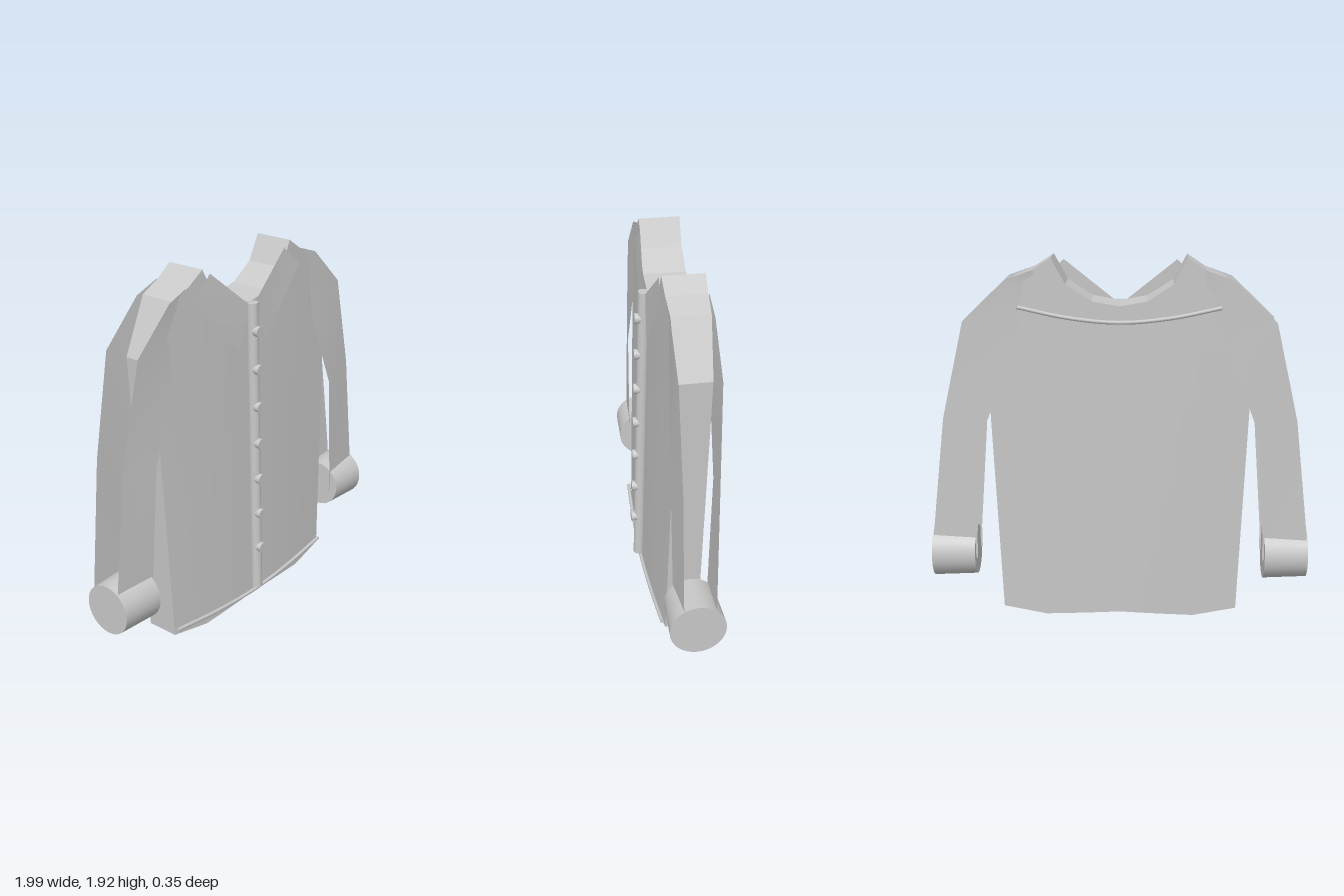
import * as THREE from 'three';

const fabric = new THREE.MeshStandardMaterial({ color: 0xc8c8c8, side: THREE.DoubleSide });
fabric.name = 'greyFabric';

function add(group, name, geometry) {
  const mesh = new THREE.Mesh(geometry, fabric);
  mesh.name = name;
  group.add(mesh);
  return mesh;
}

// Surface through rows of points; all rows have the same length
function sheet(rows) {
  const n = rows[0].length, index = [];
  for (let i = 0; i < rows.length - 1; i++) {
    for (let j = 0; j < n - 1; j++) {
      const a = i * n + j, b = a + n;
      index.push(a, a + 1, b + 1, a, b + 1, b);
    }
  }
  const g = new THREE.BufferGeometry();
  g.setAttribute('position', new THREE.Float32BufferAttribute(rows.flat(2), 3));
  g.setIndex(index);
  g.computeVertexNormals();
  return g;
}

// Half outline of the body: neckline, shoulder and hem, as [x, top y, hem y]
const HALF = [[0, 1.69, 0.03], [0.14, 1.715, 0.023], [0.27, 1.8, 0.017], [0.34, 1.93, 0.014],
  [0.43, 1.87, 0.01], [0.54, 1.82, 0.028], [0.68, 1.55, 0.05]];
const COLUMNS = [...HALF.slice(1).reverse().map(([x, t, h]) => [-x, t, h]), ...HALF];

// The body leans forward towards the hem and bulges in the middle
function bodyZ(x, y, side) {
  const lean = 0.05 * (1 - y / 1.93);
  const bulge = (side > 0 ? 0.03 : 0.02) * Math.max(0, 1 - (x / 0.68) ** 2);
  return lean + (side > 0 ? 0.04 + bulge : -0.13 - bulge);
}

function bodyPoint([x, top, hem], t, side) {
  const y = hem + (top - hem) * t, px = x * (0.915 + 0.085 * t);
  return [px, y, bodyZ(x, y, side)];
}

function addBody(group) {
  const steps = [0, 0.2, 0.4, 0.6, 0.8, 1];
  const panel = side => steps.map(t => COLUMNS.map(c => bodyPoint(c, t, side)));
  const front = panel(1), back = panel(-1).map(r => r.reverse());
  add(group, 'frontPanel', sheet(front));
  add(group, 'backPanel', sheet(back));
  // Walls joining front and back around the rim
  const strip = (name, pairs, flat) => {
    let g = sheet(pairs);
    if (flat) {
      g = g.toNonIndexed();
      g.computeVertexNormals();
    }
    add(group, name, g);
  };
  const across = t => COLUMNS.map(c => [bodyPoint(c, t, 1), bodyPoint(c, t, -1)]);
  strip('neckAndShoulderWall', across(1).map(p => p.reverse()).reverse().map(p => p.reverse()).reverse().map(([f, b]) => [b, f]), true);
  strip('hemWall', across(0), true);
  for (const c of [COLUMNS[0], COLUMNS[COLUMNS.length - 1]]) {
    const pairs = steps.map(t => [bodyPoint(c, t, 1), bodyPoint(c, t, -1)]);
    strip('sideWall', c[0] > 0 ? pairs.map(p => p.reverse()).map(([b, f]) => [f, b]) : pairs.map(([f, b]) => [b, f]), false);
  }
}

// Sleeve stations: outer [x, y, front z, back z], then inner
const SLEEVE = [
  [[0.43, 1.87, 0.055, -0.145], [0.42, 1.8, 0.05, -0.13]],
  [[0.57, 1.82, 0.06, -0.145], [0.44, 1.7, 0.05, -0.13]],
  [[0.79, 1.61, 0.06, -0.14], [0.57, 1.42, 0.063, -0.13]],
  [[0.91, 1.1, 0.057, -0.115], [0.71, 1.04, 0.08, -0.125]],
  [[0.985, 0.48, 0.06, -0.1], [0.755, 0.45, 0.075, -0.1]],
  [[0.995, 0.34, 0.06, -0.1], [0.755, 0.33, 0.075, -0.1]],
];

function addSleeve(group, s) {
  const at = (p, k) => [s * p[0], p[1], p[k]];
  for (const [name, k] of [['sleeveFront', 2], ['sleeveBack', 3]]) {
    const flip = (s > 0) === (k === 2);
    add(group, name, sheet(SLEEVE.map(([o, i]) => flip ? [at(i, k), at(o, k)].reverse() : [at(i, k), at(o, k)])));
  }
  // Cuff, lying along x
  const cuff = add(group, 'cuff', new THREE.CylinderGeometry(0.141, 0.131, 0.228, 32));
  cuff.rotation.z = -Math.PI / 2;
  cuff.position.set(s * 0.879, 0.35, -0.01);
}

function addCollar(group, s) {
  const a = [s * 0.03, 1.69, 0.09], b = [s * 0.29, 1.9, 0.066];
  const c = [s * 0.1, 1.46, 0.097], d = [s * 0.405, 1.795, 0.074];
  add(group, 'collarFlap', sheet(s > 0 ? [[c, d], [a, b]] : [[d, c], [b, a]]));
}

// Thin cord through mirrored points
function addTrim(group, name, end, mid) {
  const half = end.map((v, i) => mid[i] + (v - mid[i]) * (i === 0 ? 0.5 : 0.3));
  const pts = [end, half, mid].map(p => new THREE.Vector3(...p));
  const other = [half, end].map(p => new THREE.Vector3(-p[0], p[1], p[2]));
  const curve = new THREE.CatmullRomCurve3([...pts, ...other]);
  add(group, name, new THREE.TubeGeometry(curve, 24, 0.01, 8));
  // Closed ends
  for (const x of [end[0], -end[0]]) {
    const cap = add(group, name + 'End', new THREE.CircleGeometry(0.01, 8));
    cap.position.set(x, end[1], end[2]);
    cap.rotation.y = Math.PI / 2 * Math.sign(x);
  }
}

export function createModel() {
  const shirt = new THREE.Group();
  shirt.name = 'shirt';
  addBody(shirt);
  for (const s of [1, -1]) {
    const sleeve = new THREE.Group();
    sleeve.name = s > 0 ? 'leftSleeve' : 'rightSleeve';
    addSleeve(sleeve, s);
    shirt.add(sleeve);
    addCollar(shirt, s);
  }

  // Button placket, leaning with the front
  const top = new THREE.Vector3(0, 1.69, 0.092), bottom = new THREE.Vector3(0, 0.07, 0.135);
  const placket = add(shirt, 'placket', new THREE.CylinderGeometry(0.03, 0.03, top.distanceTo(bottom), 16));
  placket.position.copy(top).lerp(bottom, 0.5);
  placket.rotation.x = Math.atan2(top.z - bottom.z, top.y - bottom.y);

  // Buttons
  for (let i = 0; i < 7; i++) {
    const y = 1.545 - i * 0.204;
    const button = add(shirt, 'button', new THREE.CylinderGeometry(0.027, 0.027, 0.04, 16));
    button.rotation.x = Math.PI / 2;
    button.position.set(0, y, THREE.MathUtils.mapLinear(y, 1.69, 0.07, 0.092, 0.135) + 0.027);
  }

  addTrim(shirt, 'hemTrim', [0.615, 0.085, 0.105], [0, 0.042, 0.124]);
  addTrim(shirt, 'backYokeTrim', [0.51, 1.685, -0.153], [0, 1.612, -0.168]);
  return shirt;
}
